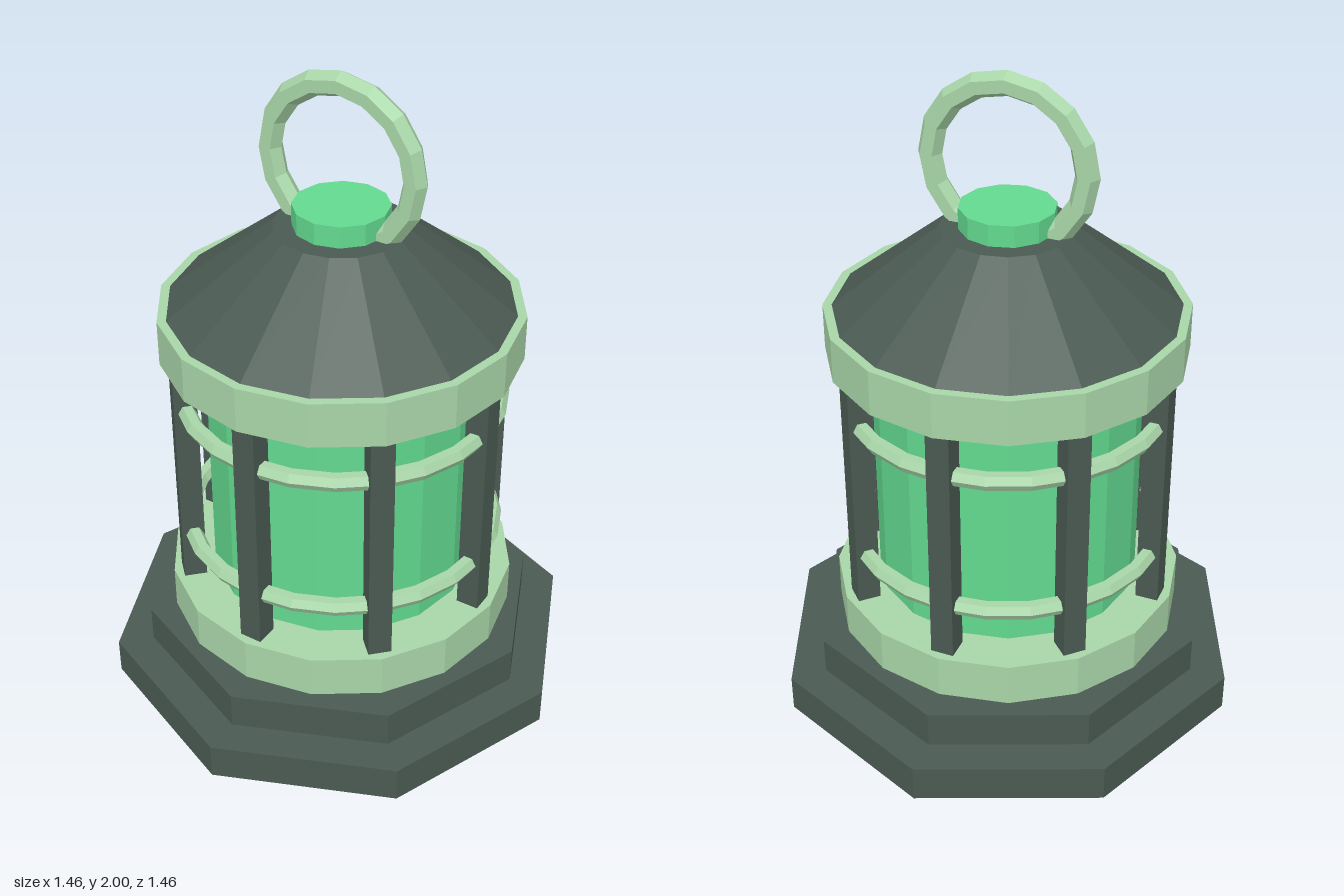
import * as THREE from 'three';

const material = (name, color) => {
  const m = new THREE.MeshStandardMaterial({ color, flatShading: true });
  m.name = name;
  return m;
};

export function createModel() {
  const lantern = new THREE.Group();
  lantern.name = 'lantern';
  const iron = material('dark iron', 0x4a5a52);
  const trim = material('pale green trim', 0xa8d5a8);
  const glass = material('green glass', 0x62d98f);

  const add = (name, geometry, mat) => {
    const mesh = new THREE.Mesh(geometry, mat);
    mesh.name = name;
    lantern.add(mesh);
    return mesh;
  };
  // Upright prism or cone frustum between two heights
  const drum = (name, rTop, rBottom, y0, y1, sides, mat) => {
    add(name, new THREE.CylinderGeometry(rTop, rBottom, y1 - y0, sides), mat).position.y = (y0 + y1) / 2;
  };

  // Stepped octagonal base
  drum('baseStep', 0.732, 0.732, 0, 0.115, 8, iron);
  drum('upperBaseStep', 0.62, 0.62, 0.115, 0.23, 8, iron);

  // Body: two bands around the glass
  drum('lowerBand', 0.537, 0.537, 0.245, 0.38, 16, trim);
  drum('glassCylinder', 0.405, 0.405, 0.36, 1.17, 16, glass);
  drum('upperBand', 0.537, 0.537, 1.15, 1.29, 16, trim);

  // Eight posts facing outward
  for (let i = 0; i < 8; i++) {
    const a = (i * Math.PI) / 4;
    const post = add('post', new THREE.BoxGeometry(0.07, 0.81, 0.07), iron);
    post.position.set(Math.sin(a) * 0.474, 0.765, Math.cos(a) * 0.474);
    post.rotation.y = a;
  }

  // Cage rails
  for (const y of [0.54, 0.992]) {
    const rail = add('rail', new THREE.TorusGeometry(0.474, 0.027, 6, 24), trim);
    rail.rotation.x = Math.PI / 2;
    rail.position.y = y;
  }

  // Roof, cap and carrying ring
  drum('roof', 0.197, 0.51, 1.29, 1.54, 16, iron);
  drum('cap', 0.141, 0.141, 1.53, 1.605, 12, glass);
  add('carryRing', new THREE.TorusGeometry(0.235, 0.037, 6, 16), trim).position.y = 1.728;

  return lantern;
}
